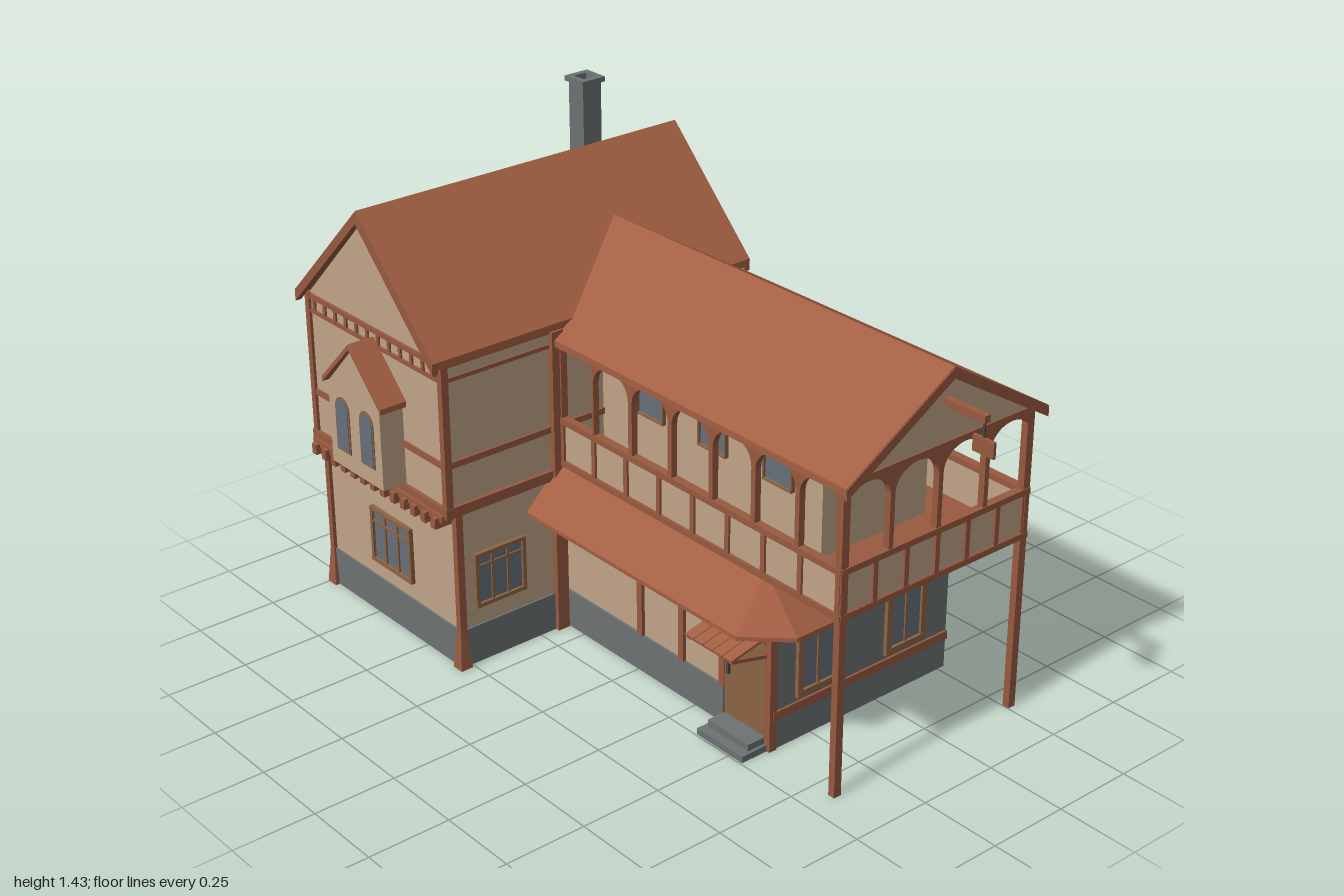
import * as THREE from 'three';

const mat = (name, color, side = THREE.FrontSide) => {
  const m = new THREE.MeshStandardMaterial({ color, side });
  m.name = name;
  return m;
};

export function createModel() {
  const root = new THREE.Group();
  root.name = 'timberFramedInn';
  const plaster = mat('plaster', 0xc0a487);
  const timber = mat('timber', 0x985a40);
  const tile = mat('roofTile', 0xa45f43, THREE.DoubleSide);
  const stone = mat('stone', 0x6d7273);
  const glass = mat('glass', 0x66717a);
  const wood = mat('doorWood', 0x8c6444);
  const dark = mat('darkIron', 0x46494a);

  const add = (name, geo, material, parent = root) => {
    const m = new THREE.Mesh(geo, material);
    m.name = name;
    parent.add(m);
    return m;
  };
  // Box given by its ranges
  const box = (name, m, x0, x1, y0, y1, z0, z1, parent) => {
    const b = add(name, new THREE.BoxGeometry(x1 - x0, y1 - y0, z1 - z0), m, parent);
    b.position.set((x0 + x1) / 2, (y0 + y1) / 2, (z0 + z1) / 2);
    return b;
  };
  const extrude = (name, m, shape, from, to, alongX = false) => {
    const g = new THREE.ExtrudeGeometry(shape, { depth: to - from, bevelEnabled: false, curveSegments: 8 });
    g.translate(0, 0, from);
    if (alongX) g.rotateY(Math.PI / 2); // shape x becomes -z
    return add(name, g, m);
  };
  const poly = (pts) => new THREE.Shape(pts.map(([x, y]) => new THREE.Vector2(x, y)));
  // Gable roof section: two slopes of vertical thickness t
  const chevron = (c, hw, eave, ridge, t) => poly([
    [c - hw, eave - t], [c, ridge - t], [c + hw, eave - t], [c + hw, eave], [c, ridge], [c - hw, eave]]);

  // ---------- Tower ----------
  const L = -0.985, R = -0.335, C = -0.662;
  box('towerLowerWall', plaster, L, R, 0, 0.5, -0.53, 0.527);
  extrude('towerUpperWall', plaster, poly([[L, 0.5], [R, 0.5], [R, 0.965], [C, 1.295], [L, 0.965]]), -0.53, 0.557);
  extrude('towerRoof', tile, chevron(C, 0.338, 0.98, 1.32, 0.022), -0.548, 0.59);
  for (const z of [-0.55, 0.575]) extrude('towerBargeboard', timber, chevron(C, 0.338, 0.979, 1.317, 0.035), z, z + 0.019);
  box('towerFoundationFront', stone, L - 0.003, R + 0.003, 0, 0.12, 0.52, 0.533);
  box('towerFoundationSide', stone, R - 0.01, R + 0.006, 0, 0.12, 0.14, 0.533);

  // Rails around front and both sides
  for (const [y0, y1, o] of [[0.495, 0.527, 0.012], [0.645, 0.664, 0.006], [0.908, 0.92, 0.006], [0.953, 0.968, 0.008]])
    box('towerRail', timber, L - o, R + o, y0, y1, -0.525, 0.557 + o);
  for (let i = 0; i < 12; i++) {
    const x = L + 0.03 + i * 0.0536;
    box('friezeStud', timber, x - 0.006, x + 0.006, 0.915, 0.96, 0.55, 0.563);
  }
  for (let i = 0; i < 13; i++) {
    const x = L + 0.025 + i * 0.05;
    box('jettyBracket', timber, x - 0.011, x + 0.011, 0.465, 0.497, 0.52, 0.592);
  }
  box('jettyBeam', timber, L, R, 0.485, 0.505, 0.52, 0.578);
  for (const x of [L, R]) {
    box('lowerCornerPost', timber, x - 0.01, x + 0.01, 0, 0.5, 0.515, 0.538);
    box('upperCornerPost', timber, x - 0.01, x + 0.01, 0.5, 0.97, 0.543, 0.566);
    const foot = add('postFoot', new THREE.CylinderGeometry(0.014, 0.028, 0.12, 4).rotateY(Math.PI / 4).toNonIndexed(), timber);
    foot.geometry.computeVertexNormals();
    foot.position.set(x, 0.06, 0.528);
  }
  box('innerCornerPost', timber, R - 0.01, R + 0.02, 0, 0.96, 0.155, 0.195);

  // Chimney with hollow cap
  const sq = (r) => [[-0.885 - r, 0.385 - r], [-0.885 + r, 0.385 - r], [-0.885 + r, 0.385 + r], [-0.885 - r, 0.385 + r]];
  const flue = (name, r, y0, y1) => {
    const s = poly(sq(r));
    s.holes.push(new THREE.Path(sq(0.022).reverse().map(([x, y]) => new THREE.Vector2(x, y))));
    const g = new THREE.ExtrudeGeometry(s, { depth: y1 - y0, bevelEnabled: false });
    g.rotateX(-Math.PI / 2).translate(0, y0, 0);
    add(name, g, stone);
  };
  flue('chimneyStack', 0.034, 0.98, 1.42);
  flue('chimneyCap', 0.043, 1.42, 1.435);
  box('chimneyFlue', dark, -0.909, -0.861, 1.38, 1.4, -0.409, -0.361);

  // Oriel bay on the tower front
  extrude('orielWall', plaster, poly([[-0.787, 0.527], [-0.533, 0.527], [-0.533, 0.78], [-0.66, 0.915], [-0.787, 0.78]]), 0.55, 0.635);
  extrude('orielRoof', tile, chevron(-0.66, 0.146, 0.79, 0.938, 0.017), 0.55, 0.643);
  const archPath = (P, x0, x1, y0, spring, rise) => {
    const p = new P();
    p.moveTo(x0, y0);
    p.lineTo(x0, spring);
    p.absellipse((x0 + x1) / 2, spring, (x1 - x0) / 2, rise, Math.PI, 0, true);
    p.lineTo(x1, y0);
    p.closePath();
    return p;
  };
  for (const x of [-0.72, -0.6]) {
    extrude('orielWindowFrame', wood, archPath(THREE.Shape, x - 0.034, x + 0.034, 0.58, 0.715, 0.036), 0.63, 0.638);
    extrude('orielWindowGlass', glass, archPath(THREE.Shape, x - 0.028, x + 0.028, 0.586, 0.715, 0.03), 0.634, 0.64);
  }

  // Framed windows, built facing +z
  const window_ = (name, w, h, cols, x, y, z, ry = 0, f = 0.012) => {
    const g = new THREE.Group();
    g.name = name;
    box('pane', glass, -w / 2, w / 2, -h / 2, h / 2, 0, 0.005, g);
    for (const s of [-1, 1]) {
      box('jamb', wood, s * w / 2 - f / 2, s * w / 2 + f / 2, -h / 2, h / 2, 0, 0.013, g);
      box('sill', wood, -w / 2 - f / 2, w / 2 + f / 2, s * h / 2 - f / 2, s * h / 2 + f / 2, 0, 0.014, g);
    }
    for (let i = 1; i < cols; i++) {
      const u = -w / 2 + (w * i) / cols;
      box('mullion', wood, u - 0.004, u + 0.004, -h / 2, h / 2, 0, 0.01, g);
    }
    box('transom', wood, -w / 2, w / 2, h * 0.24, h * 0.24 + 0.008, 0, 0.01, g);
    g.position.set(x, y, z);
    g.rotation.y = ry;
    root.add(g);
  };
  window_('towerFrontWindow', 0.19, 0.168, 3, C, 0.266, 0.527);
  window_('towerSideWindow', 0.166, 0.162, 3, R, 0.267, 0.39, Math.PI / 2);
  for (const z of [-0.017, -0.352]) window_('wingSideWindow', 0.135, 0.225, 2, 0.556, 0.26, z, Math.PI / 2, 0.02);
  for (const x of [-0.113, 0.15, 0.415]) window_('galleryWindow', 0.11, 0.142, 1, x, 0.785, 0, 0, 0.006);

  // ---------- Wing, ground floor ----------
  box('wingLowerWall', plaster, R, 0.545, 0, 0.545, -0.53, 0.145);
  box('wingStoneEnd', stone, 0.54, 0.556, 0, 0.54, -0.525, 0.142);
  box('wingEndSill', timber, 0.54, 0.563, 0.095, 0.122, -0.525, 0.145);
  box('wingFoundation', stone, R, 0.365, 0, 0.12, 0.14, 0.152);
  box('wingRail', timber, R, 0.545, 0.352, 0.366, 0.14, 0.155);
  for (const x of [0.01, 0.19, 0.362]) box('wingStud', timber, x - 0.011, x + 0.011, 0.12, 0.44, 0.14, 0.156);
  for (const x of [-0.245, -0.07]) box('wingShortStud', timber, x - 0.006, x + 0.006, 0.36, 0.44, 0.14, 0.154);
  box('wingCornerPost', timber, 0.537, 0.561, 0, 0.5, 0.13, 0.156);

  // Door, steps and canopy
  box('door', wood, 0.373, 0.537, 0.03, 0.345, 0.14, 0.153);
  box('doorHandle', dark, 0.388, 0.396, 0.175, 0.215, 0.15, 0.162);
  box('doorLintel', timber, 0.365, 0.54, 0.335, 0.352, 0.14, 0.16);
  box('lowerStep', stone, 0.365, 0.55, 0, 0.02, 0.14, 0.245);
  box('upperStep', stone, 0.375, 0.54, 0.02, 0.04, 0.14, 0.215);
  for (let i = 0; i < 5; i++) {
    const p = box('canopyBoard', tile, 0.363 + i * 0.038, 0.399 + i * 0.038, 0.347, 0.355, 0.145, 0.29);
    p.rotation.x = 0.22;
  }
  for (const x of [0.372, 0.54]) {
    const s = box('canopyStrut', timber, x - 0.006, x + 0.006, 0.308, 0.318, 0.145, 0.285);
    s.rotation.x = -0.24;
  }

  // Skirt roof: eave line to wall line, with clipped corners
  const T = [[R - 0.005, 0.15], [0.53, 0.15], [0.53, -0.525], [R - 0.005, -0.525]].map(([x, z]) => [x, 0.55, z]);
  const E = [[-0.345, 0.285], [0.565, 0.285], [0.675, 0.17], [0.675, -0.535], [0.565, -0.645], [-0.345, -0.645]].map(([x, z]) => [x, 0.42, z]);
  const tris = [];
  const quad = (a, b, c, d) => tris.push(a, b, c, a, c, d);
  quad(E[0], E[1], T[1], T[0]);
  tris.push(E[1], E[2], T[1]);
  quad(E[2], E[3], T[2], T[1]);
  tris.push(E[3], E[4], T[2]);
  quad(E[4], E[5], T[3], T[2]);
  for (let i = 0; i < 5; i++) { // eave edge
    const low = ([x, y, z]) => [x, y - 0.012, z];
    quad(low(E[i]), low(E[i + 1]), E[i + 1], E[i]);
  }
  const skirt = new THREE.BufferGeometry();
  skirt.setAttribute('position', new THREE.Float32BufferAttribute(tris.flat(), 3));
  skirt.computeVertexNormals();
  add('skirtRoof', skirt, tile);

  // ---------- Wing, gallery floor ----------
  const XE = 0.83, ZF = 0.17, ZB = -0.527;
  box('galleryFloor', timber, R, XE, 0.538, 0.558, ZB, ZF);
  box('galleryRoom', plaster, R, 0.58, 0.55, 0.96, -0.39, 0);
  box('parapetFront', plaster, R, XE - 0.005, 0.55, 0.685, ZF - 0.018, ZF - 0.005);
  box('parapetBack', plaster, R, XE - 0.005, 0.55, 0.685, ZB + 0.005, ZB + 0.018);
  box('parapetEnd', plaster, XE - 0.018, XE - 0.005, 0.55, 0.685, ZB + 0.005, ZF - 0.005);
  for (const y of [0.548, 0.682]) {
    for (const z of [ZF - 0.022, ZB - 0.003]) box('parapetRail', timber, R, XE, y - 0.009, y + 0.009, z, z + 0.025);
    box('parapetEndRail', timber, XE - 0.022, XE + 0.003, y - 0.009, y + 0.009, ZB, ZF);
  }
  for (let i = 0; i <= 8; i++) {
    const x = -0.31 + i * 0.141;
    box('parapetPost', timber, x - 0.008, x + 0.008, 0.55, 0.685, ZF - 0.022, ZF + 0.002);
  }
  for (let i = 0; i <= 6; i++) {
    const z = ZB + 0.01 + i * 0.113;
    box('parapetEndPost', timber, XE - 0.022, XE + 0.002, 0.55, 0.685, z - 0.008, z + 0.008);
  }

  // Arcades: timber sheet with a row of arched openings
  const arcade = (name, a, b, n, from, to, alongX) => {
    const s = poly([[a, 0.685], [b, 0.685], [b, 0.935], [a, 0.935]]);
    const p = (b - a) / n;
    for (let i = 0; i < n; i++)
      s.holes.push(archPath(THREE.Path, a + i * p + 0.008, a + (i + 1) * p - 0.008, 0.69, 0.85, 0.066));
    extrude(name, timber, s, from, to, alongX);
  };
  arcade('frontArcade', -0.174, XE, 6, ZF - 0.02, ZF, false);
  arcade('endArcade', -ZF, -ZB, 4, XE - 0.02, XE, true);
  box('galleryWallPost', timber, R, R + 0.025, 0.55, 0.935, ZF - 0.022, ZF);
  box('frontPlate', timber, R, XE, 0.92, 0.938, ZF - 0.02, ZF);
  box('backPlate', timber, -0.5, XE, 0.915, 0.936, ZB, ZB + 0.02);
  for (const z of [ZF - 0.025, ZB]) box('galleryTallPost', timber, XE - 0.022, XE, 0, 0.93, z, z + 0.025);

  // Wing roof and gable
  extrude('wingGable', plaster, poly([[-0.165, 0.93], [0.525, 0.93], [0.183, 1.142]]), XE - 0.02, XE - 0.004, true);
  extrude('wingCeiling', plaster, chevron(0.183, 0.352, 0.924, 1.144, 0.006), -0.45, XE - 0.01, true);
  extrude('wingRoof', tile, chevron(0.183, 0.369, 0.936, 1.16, 0.02), -0.5, 0.853, true);
  extrude('wingBargeboard', timber, chevron(0.183, 0.368, 0.935, 1.158, 0.032), 0.838, 0.856, true);

  // Hanging sign
  box('signBeam', timber, 0.8, 0.97, 1.043, 1.065, -0.196, -0.175);
  box('signHanger', dark, 0.958, 0.964, 0.99, 1.05, -0.188, -0.183);
  box('signBoard', timber, 0.927, 1.0, 0.953, 1.0, -0.19, -0.181);

  return root;
}
